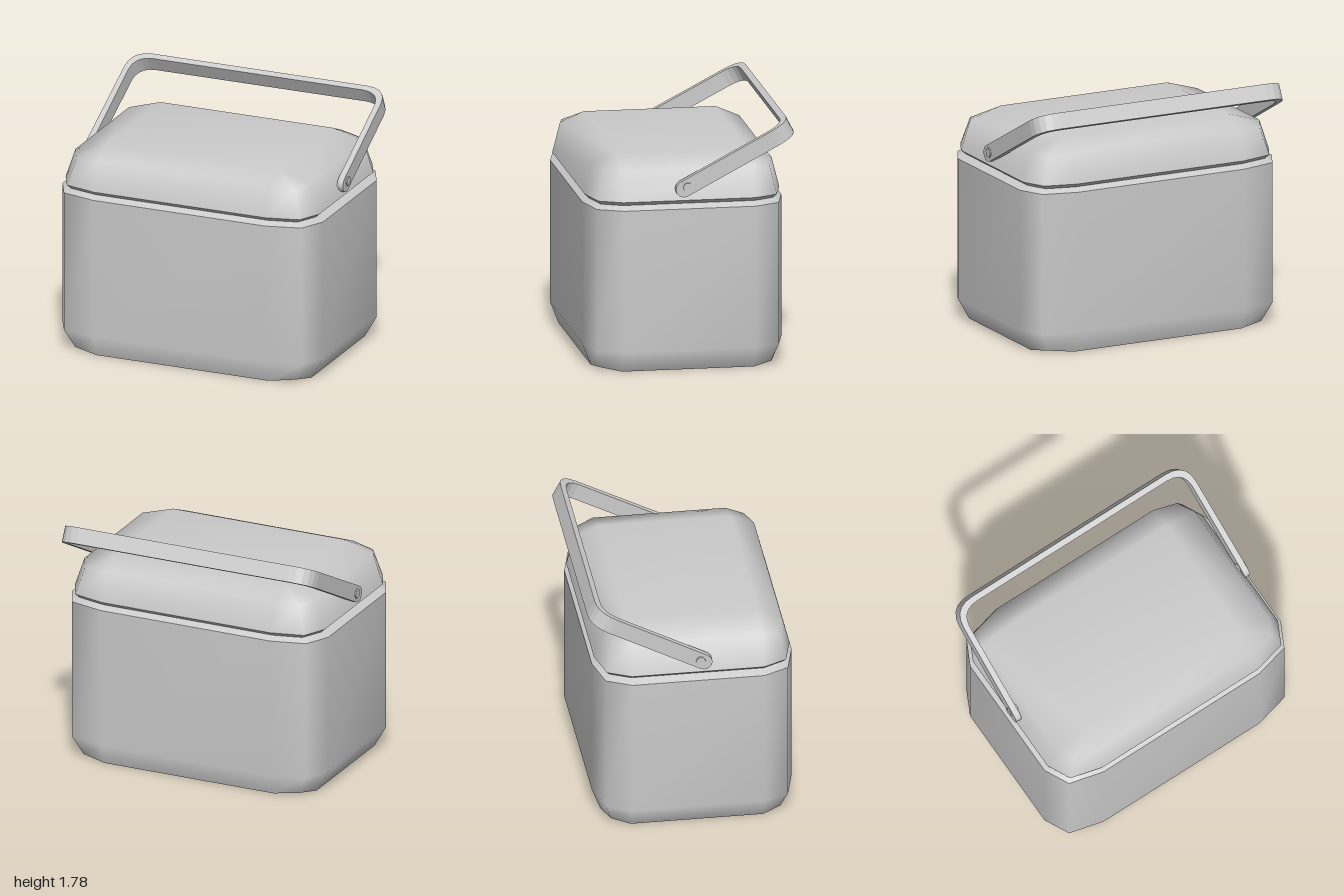
import * as THREE from 'three';
import { mergeVertices } from 'three/addons/utils/BufferGeometryUtils.js';

const CENTER_Z = 0.03;
const CORE_X = 0.66, CORE_Z = 0.47; // half sizes of the flat faces; corners round outside these
const grey = new THREE.MeshStandardMaterial({ color: 0xcccccc, side: THREE.DoubleSide });

// Twelve-point rounded rectangle; cornerLift raises the middle point of each corner
function ring({ x, z, y, cornerLift = 0 }) {
  const pts = [];
  const arcs = [[1, 0], [0.74, 0.74], [0, 1]];
  for (const [sx, sz] of [[1, 1], [-1, 1], [-1, -1], [1, -1]]) {
    const order = sx * sz > 0 ? arcs : [...arcs].reverse();
    order.forEach(([ax, az], i) => pts.push([
      sx * (CORE_X + (x - CORE_X) * ax),
      y + (i === 1 ? cornerLift : 0),
      CENTER_Z + sz * (CORE_Z + (z - CORE_Z) * az),
    ]));
  }
  return pts;
}

// Smooth skin through a stack of rings, optionally capped on top
function loft(name, specs, capped = false) {
  const rings = specs.map(ring);
  const n = rings[0].length;
  const positions = rings.flat(2);
  const index = [];
  for (let i = 0; i < rings.length - 1; i++) {
    for (let j = 0; j < n; j++) {
      const k = (j + 1) % n;
      const a = i * n + j, b = i * n + k, c = a + n, d = b + n;
      index.push(a, c, b, b, c, d);
    }
  }
  if (capped) {
    const center = positions.length / 3, top = (rings.length - 1) * n;
    positions.push(0, specs[specs.length - 1].y, CENTER_Z);
    for (let j = 0; j < n; j++) index.push(center, top + (j + 1) % n, top + j);
  }
  let geometry = new THREE.BufferGeometry();
  geometry.setAttribute('position', new THREE.Float32BufferAttribute(positions, 3));
  geometry.setIndex(index);
  geometry = mergeVertices(geometry, 1e-4);
  geometry.computeVertexNormals();
  const mesh = new THREE.Mesh(geometry, grey);
  mesh.name = name;
  return mesh;
}

// U-shaped carrying handle, built upright and tilted backwards about its pivots
function createHandle() {
  const handle = new THREE.Group();
  handle.name = 'handle';
  const width = 0.117, top = 0.852, low = -0.03;

  const s = new THREE.Shape();
  s.moveTo(0.99, low);
  s.lineTo(0.984, top - 0.15);
  s.quadraticCurveTo(0.978, top, 0.82, top);
  s.lineTo(-0.82, top);
  s.quadraticCurveTo(-0.978, top, -0.984, top - 0.15);
  s.lineTo(-0.99, low);
  s.lineTo(-0.945, low);
  s.lineTo(-0.942, top - 0.17);
  s.quadraticCurveTo(-0.935, top - 0.045, -0.8, top - 0.045);
  s.lineTo(0.8, top - 0.045);
  s.quadraticCurveTo(0.935, top - 0.045, 0.942, top - 0.17);
  s.lineTo(0.945, low);
  s.closePath();
  const barGeometry = new THREE.ExtrudeGeometry(s, { depth: width, bevelEnabled: false, curveSegments: 5 });
  barGeometry.translate(0, 0, -width / 2);
  const bar = new THREE.Mesh(barGeometry, grey);
  bar.name = 'handleBar';
  handle.add(bar);

  for (const side of [1, -1]) {
    // Rounded arm end
    const end = new THREE.Mesh(new THREE.CylinderGeometry(width / 2, width / 2, 0.045, 12), grey);
    end.name = side > 0 ? 'leftArmEnd' : 'rightArmEnd';
    end.rotation.z = Math.PI / 2;
    end.position.set(side * 0.9675, low, 0);
    // Hexagonal pivot pin
    const pin = new THREE.Mesh(new THREE.CylinderGeometry(0.035, 0.035, 0.09, 6).toNonIndexed(), grey);
    pin.geometry.computeVertexNormals();
    pin.name = side > 0 ? 'leftPivot' : 'rightPivot';
    pin.rotation.z = Math.PI / 2;
    pin.position.set(side * 0.954, 0, 0);
    handle.add(end, pin);
  }
  handle.position.set(0, 1.33, 0.045);
  handle.rotation.x = -1.088;
  return handle;
}

export function createModel() {
  const model = new THREE.Group();
  model.name = 'coolBox';

  // Open-bottomed body with a bevelled lower edge
  model.add(loft('body', [
    { x: 0.91, z: 0.65, y: 0, cornerLift: 0.02 },
    { x: 1, z: 0.71, y: 0.155 },
    { x: 1, z: 0.71, y: 1.177 },
  ]));
  // Rim ledge and the groove under the lid
  model.add(loft('rim', [
    { x: 1, z: 0.71, y: 1.177 },
    { x: 0.94, z: 0.665, y: 1.205 },
  ]));
  model.add(loft('lidUnderside', [
    { x: 0.94, z: 0.665, y: 1.205 },
    { x: 0.975, z: 0.695, y: 1.233 },
  ]));
  // Domed lid
  model.add(loft('lid', [
    { x: 0.975, z: 0.695, y: 1.233 },
    { x: 0.9, z: 0.64, y: 1.447, cornerLift: -0.02 },
    { x: CORE_X, z: CORE_Z, y: 1.52 },
  ], true));

  model.add(createHandle());
  return model;
}
